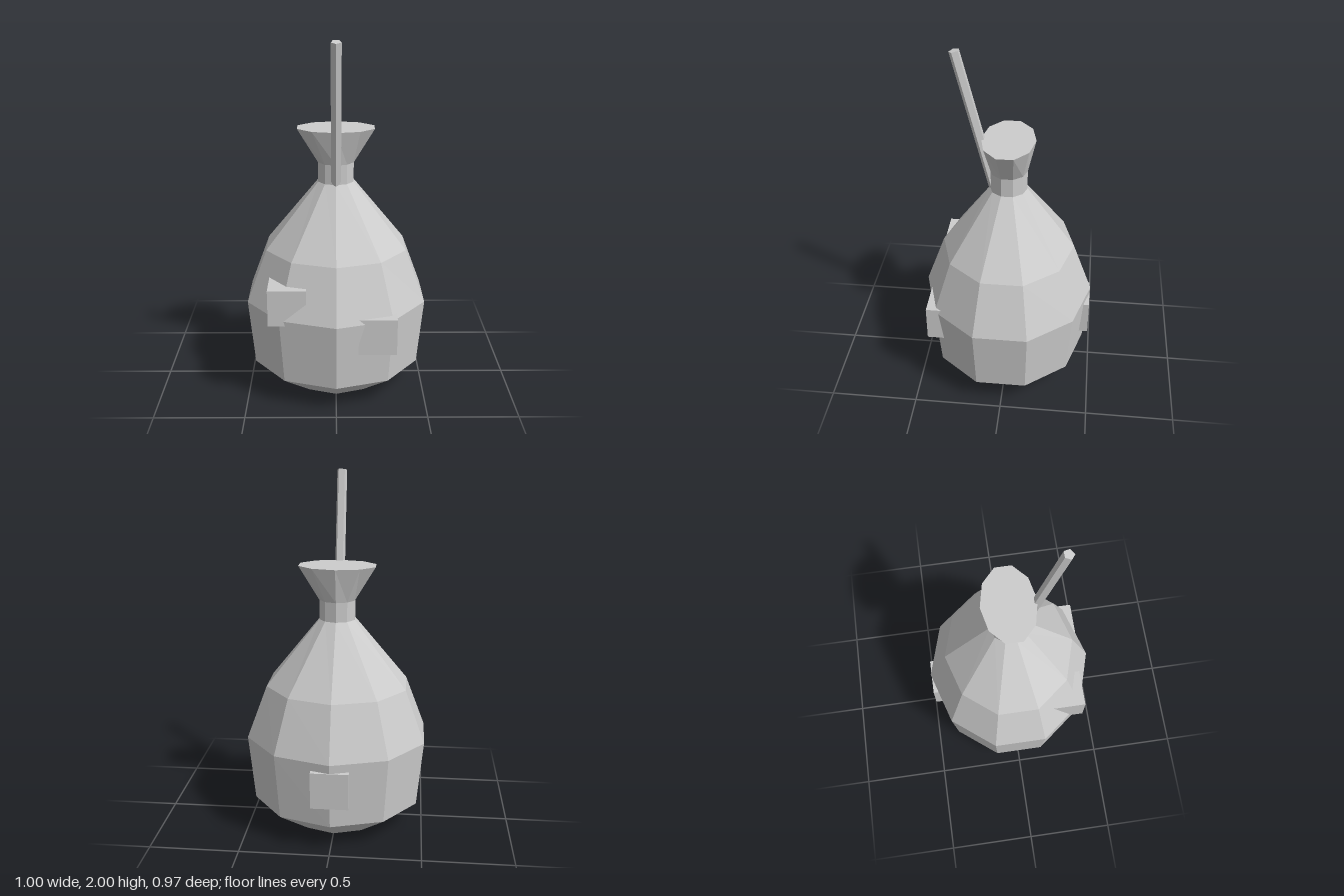
import * as THREE from 'three';

// Faceted normals for the low-poly look
function faceted(geometry) {
  const g = geometry.toNonIndexed();
  g.computeVertexNormals();
  return g;
}

export function createModel() {
  const group = new THREE.Group();
  const cloth = new THREE.MeshStandardMaterial({ color: 0xcccccc });
  cloth.name = 'pale grey';

  const add = (name, geometry) => {
    const mesh = new THREE.Mesh(faceted(geometry), cloth);
    mesh.name = name;
    group.add(mesh);
    return mesh;
  };

  // Sack: ten-sided oval rings, [height, radius in x, radius in z]
  const rings = [
    [0, 0, 0],
    [0, 0.263, 0.26],
    [0.15, 0.489, 0.455],
    [0.53, 0.5257, 0.487],
    [0.83, 0.41, 0.377],
    [1.205, 0.103, 0.104],
    [1.315, 0.103, 0.104],
    [1.505, 0.222, 0.148],
    [1.505, 0, 0],
  ];
  const profile = rings.map(([y, rx]) => new THREE.Vector2(rx, y));
  const sack = new THREE.LatheGeometry(profile, 10);
  const pos = sack.attributes.position;
  for (let i = 0; i < pos.count; i++) {
    const [, rx, rz] = rings[i % rings.length];
    if (rx > 0) pos.setZ(i, (pos.getZ(i) * rz) / rx);
  }
  add('sack', sack);

  // Leaning five-sided stick tucked in front of the neck
  const bottom = new THREE.Vector3(0, 1.2, 0.08);
  const top = new THREE.Vector3(0, 1.993, 0.275);
  const stick = add('stick', new THREE.CylinderGeometry(0.029, 0.029, bottom.distanceTo(top), 5));
  stick.position.copy(bottom).add(top).multiplyScalar(0.5);
  stick.rotation.x = Math.atan2(top.z - bottom.z, top.y - bottom.y);

  // Square patches: cubes sunk into the sack
  const size = 0.207;
  const patches = [
    ['frontRightPatch', -0.265, 0.605, 0.298],
    ['frontLeftPatch', 0.224, 0.453, 0.337],
    ['backPatch', 0, 0.378, -0.381],
  ];
  for (const [name, x, y, z] of patches) {
    add(name, new THREE.BoxGeometry(size, size, size)).position.set(x, y, z);
  }

  return group;
}
